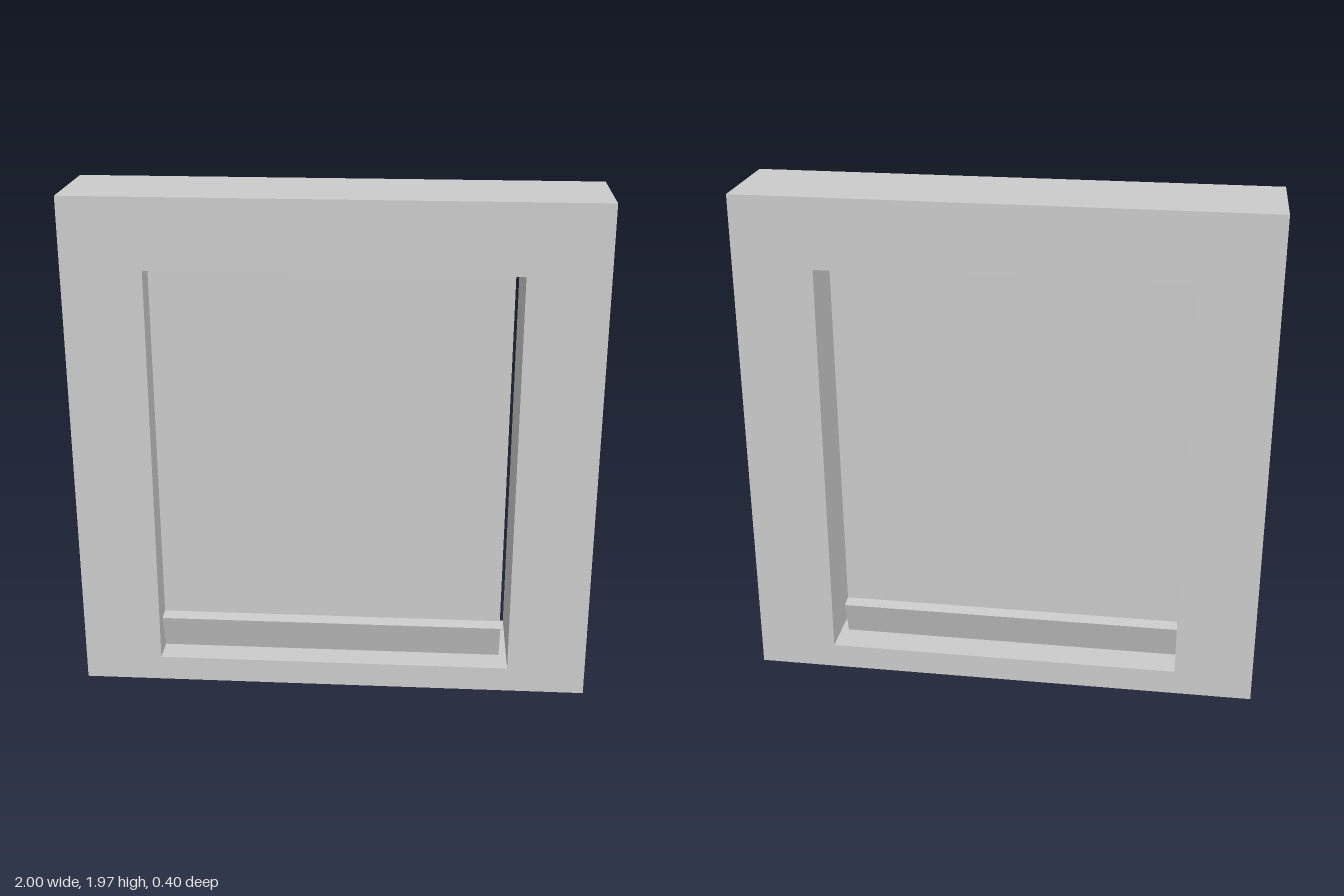
import * as THREE from 'three';

const material = new THREE.MeshStandardMaterial({ color: 0xcccccc, flatShading: true });

// Extrude a (z, y) profile sideways from x0 to x1
function sidewaysPrism(name, points, x0, x1) {
  const shape = new THREE.Shape(points.map(([z, y]) => new THREE.Vector2(-z, y)));
  const geometry = new THREE.ExtrudeGeometry(shape, { depth: x1 - x0, bevelEnabled: false });
  geometry.rotateY(Math.PI / 2);
  geometry.translate(x0, 0, 0);
  const mesh = new THREE.Mesh(geometry, material);
  mesh.name = name;
  return mesh;
}

function rectangle(Type, x0, y0, x1, y1) {
  const path = new Type();
  path.moveTo(x0, y0);
  path.lineTo(x1, y0);
  path.lineTo(x1, y1);
  path.lineTo(x0, y1);
  path.closePath();
  return path;
}

export function createModel() {
  const group = new THREE.Group();
  group.name = 'framedDoor';

  // Thick surround with a rectangular opening
  const outline = rectangle(THREE.Shape, -1, 0, 1, 1.97);
  outline.holes.push(rectangle(THREE.Path, -0.695, 0.1, 0.695, 1.7));
  const geometry = new THREE.ExtrudeGeometry(outline, { depth: 0.4, bevelEnabled: false });
  geometry.translate(0, 0, -0.2);
  const frame = new THREE.Mesh(geometry, material);
  frame.name = 'frame';
  group.add(frame);

  // Door panel, a little thinner at the bottom, with a gap on its left side
  const left = 0.665, right = -0.695, mid = 0.01;
  group.add(sidewaysPrism('panel', [
    [mid - 0.07, 0.1], [mid + 0.07, 0.1], [mid + 0.09, 1.7], [mid - 0.09, 1.7],
  ], right, left));

  // Overhanging rail along the foot of the panel, on both faces
  group.add(sidewaysPrism('bottomRail', [
    [mid - 0.083, 0.1], [mid + 0.083, 0.1], [mid + 0.127, 0.243], [mid + 0.072, 0.248],
    [mid - 0.072, 0.248], [mid - 0.127, 0.243],
  ], right, left));

  return group;
}
